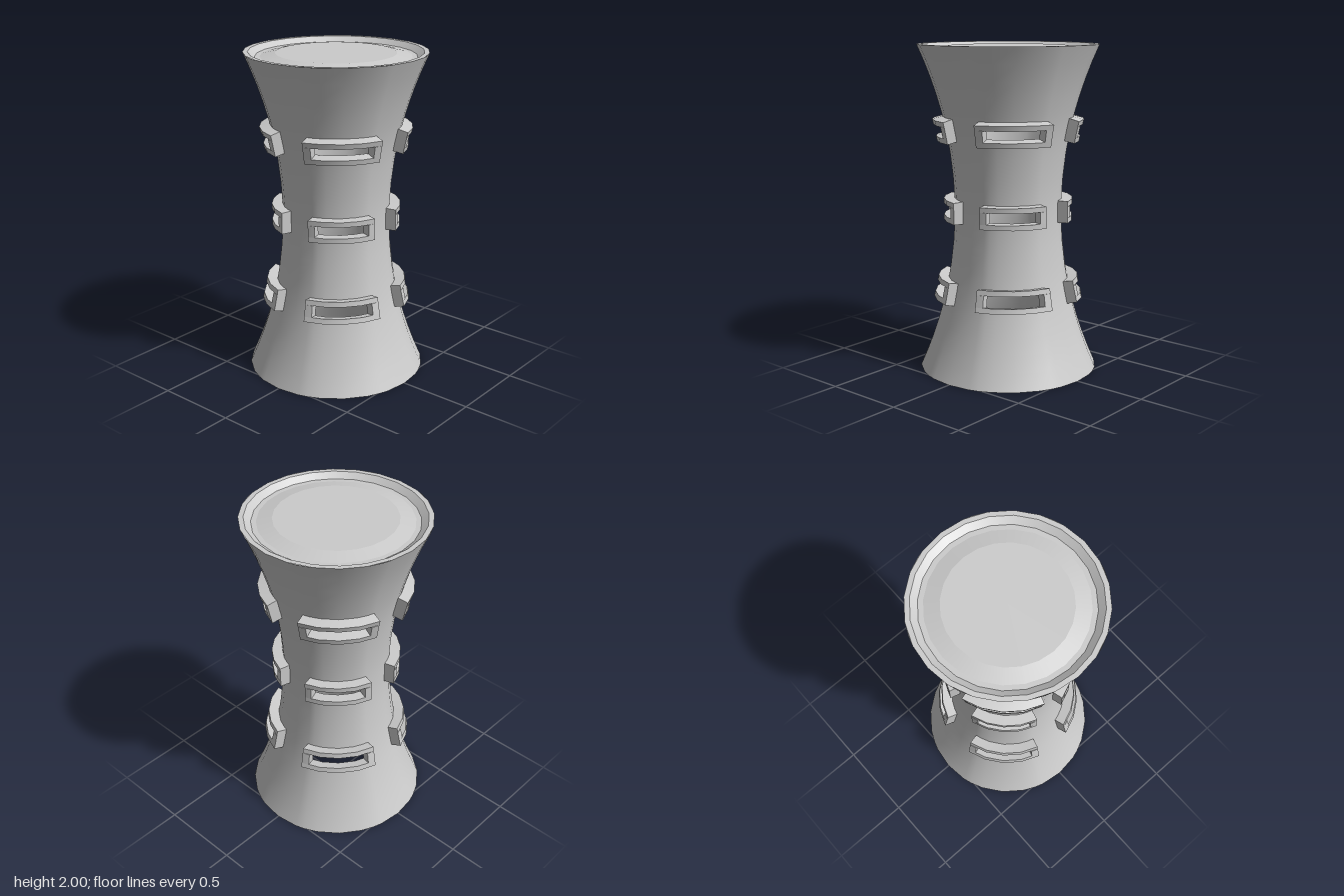
import * as THREE from 'three';

const RAD = Math.PI / 180;
const WINDOW_Y = [0.5, 1, 1.5];
const OUTER = { a: 30, h: 0.068 }; // frame half angle (degrees) and half height
const HOLE = { a: 24, h: 0.036 };  // opening half angle and half height
const DEPTH = 0.065;

// Waisted tower radius at a height
const radius = (y) => 0.33 + 0.22 * Math.pow(Math.abs(y - 1), 2.05);

// Point on the tower wall, pushed out along the wall normal by d
function wallPoint(deg, y, d = 0) {
  const slope = (radius(y + 0.001) - radius(y - 0.001)) / 0.002;
  const n = Math.hypot(1, slope);
  const r = radius(y) + d / n;
  return new THREE.Vector3(r * Math.sin(deg * RAD), y - (d * slope) / n, r * Math.cos(deg * RAD));
}

// Open wall as a grid with the window cells left out
function wallGeometry() {
  const angles = [];
  for (let q = 0; q < 4; q++) for (const a of [0, 15, 21, 30, 45, 60, 69, 75]) angles.push(q * 90 + a);
  const rows = [0, 0.1, 0.2, 0.3, 0.4, 0.65, 0.8, 0.9, 1.1, 1.2, 1.35, 1.6, 1.7, 1.8, 1.9, 2];
  for (const y of WINDOW_Y) rows.push(y - HOLE.h, y + HOLE.h);
  rows.sort((a, b) => a - b);

  const pos = [], index = [], n = angles.length;
  for (const y of rows) for (const a of angles) pos.push(...wallPoint(a, y).toArray());
  for (let j = 0; j < rows.length - 1; j++) {
    const midY = (rows[j] + rows[j + 1]) / 2;
    for (let i = 0; i < n; i++) {
      const midA = (angles[i] + (angles[i + 1] ?? 360)) / 2 % 90;
      const open = Math.abs(midA - 45) < HOLE.a && WINDOW_Y.some((y) => Math.abs(midY - y) < HOLE.h);
      if (open) continue;
      const k = (i + 1) % n;
      const a = j * n + i, b = j * n + k, c = a + n, d = b + n;
      index.push(a, b, d, a, d, c);
    }
  }
  const g = new THREE.BufferGeometry();
  g.setAttribute('position', new THREE.Float32BufferAttribute(pos, 3));
  g.setIndex(index);
  g.computeVertexNormals();
  return g;
}

// Curved bar hugging the wall between two angles and two heights
function barGeometry(a0, a1, y0, y1) {
  const g = new THREE.BoxGeometry(1, 1, 1, 4, 1, 1);
  const p = g.attributes.position;
  for (let i = 0; i < p.count; i++) {
    const v = wallPoint(
      a0 + (p.getX(i) + 0.5) * (a1 - a0),
      y0 + (p.getY(i) + 0.5) * (y1 - y0),
      p.getZ(i) > 0 ? DEPTH : -0.003
    );
    p.setXYZ(i, v.x, v.y, v.z);
  }
  g.computeVertexNormals();
  return g;
}

export function createModel() {
  const model = new THREE.Group();
  model.name = 'tower';
  const grey = new THREE.MeshStandardMaterial({ color: 0xcccccc });
  const thin = new THREE.MeshStandardMaterial({ color: 0xcccccc, side: THREE.DoubleSide });
  const add = (parent, name, geometry, material) => {
    const m = new THREE.Mesh(geometry, material);
    m.name = name;
    parent.add(m);
  };

  add(model, 'wall', wallGeometry(), thin);

  // Window frames: three rows on each diagonal
  for (const y of WINDOW_Y) {
    for (let q = 0; q < 4; q++) {
      const c = 45 + q * 90;
      const frame = new THREE.Group();
      frame.name = 'windowFrame';
      add(frame, 'frameTop', barGeometry(c - OUTER.a, c + OUTER.a, y + HOLE.h, y + OUTER.h), grey);
      add(frame, 'frameBottom', barGeometry(c - OUTER.a, c + OUTER.a, y - OUTER.h, y - HOLE.h), grey);
      add(frame, 'frameSide', barGeometry(c - OUTER.a, c - HOLE.a, y - HOLE.h, y + HOLE.h), grey);
      add(frame, 'frameSide', barGeometry(c + HOLE.a, c + OUTER.a, y - HOLE.h, y + HOLE.h), grey);
      model.add(frame);
    }
  }

  // Top: rim, bevelled step, ledge and shallow raised lid
  const profile = [[0.55, 2], [0.52, 2], [0.48, 1.97], [0.45, 1.97], [0.36, 1.99], [0, 1.99]];
  const names = ['rim', 'rimBevel', 'ledge', 'lidSlope', 'lidTop'];
  names.forEach((name, i) => {
    const pts = [profile[i], profile[i + 1]].map(([x, y]) => new THREE.Vector2(x, y));
    add(model, name, new THREE.LatheGeometry(pts, 24), thin);
  });

  return model;
}
